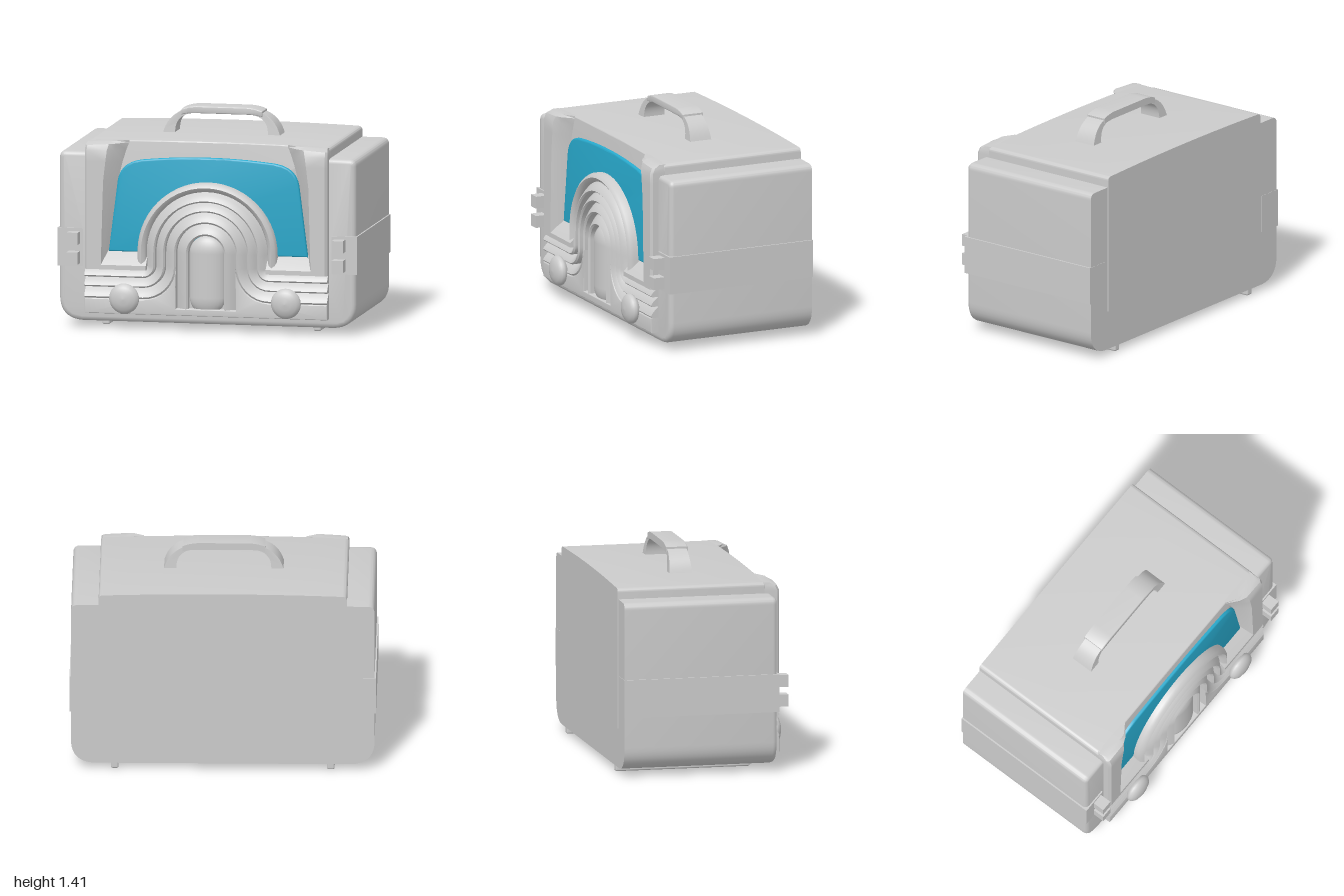
import * as THREE from 'three';
import { toCreasedNormals } from 'three/addons/utils/BufferGeometryUtils.js';
import { RoundedBoxGeometry } from 'three/addons/geometries/RoundedBoxGeometry.js';

const grey = new THREE.MeshStandardMaterial({ color: 0xcccccc, side: THREE.DoubleSide });
const teal = new THREE.MeshStandardMaterial({ color: 0x28a9cc });

export function createModel() {
  const model = new THREE.Group();

  function add(name, geometry, x = 0, y = 0, z = 0, material = grey) {
    const mesh = new THREE.Mesh(geometry, material);
    mesh.name = name;
    mesh.position.set(x, y, z);
    model.add(mesh);
    return mesh;
  }

  // Outline extruded from z0 to z1, with only its front edge rounded
  function slab(shape, z0, z1, bevel) {
    const g = new THREE.ExtrudeGeometry(shape, {
      depth: z1 - z0 - bevel, bevelThickness: bevel, bevelSize: bevel,
      bevelOffset: -bevel, bevelSegments: 3, curveSegments: 10,
    });
    const p = g.attributes.position;
    for (let i = 0; i < p.count; i++) p.setZ(i, Math.max(0, p.getZ(i)) + z0);
    return toCreasedNormals(g, 0.6);
  }

  // Surface through a row of cross-sections
  function loft(sections, flip = false) {
    const n = sections[0].length, index = [];
    for (let i = 0; i < sections.length - 1; i++) {
      for (let j = 0; j < n - 1; j++) {
        const a = i * n + j, b = a + n, c = b + 1, d = a + 1;
        index.push(...(flip ? [a, c, b, a, d, c] : [a, b, c, a, c, d]));
      }
    }
    const g = new THREE.BufferGeometry();
    g.setAttribute('position', new THREE.Float32BufferAttribute(sections.flat(2), 3));
    g.setIndex(index);
    return toCreasedNormals(g, 0.6);
  }

  // Outer case: a U-shaped shell with large lower corners
  const shell = new THREE.Shape();
  shell.moveTo(-0.84, 0.04);
  shell.lineTo(0.84, 0.04);
  shell.quadraticCurveTo(0.99, 0.05, 0.99, 0.2);
  shell.lineTo(0.99, 1.11);
  shell.quadraticCurveTo(0.99, 1.155, 0.945, 1.155);
  shell.lineTo(0.74, 1.155);
  shell.lineTo(0.74, 0.42);
  shell.lineTo(-0.74, 0.42);
  shell.lineTo(-0.74, 1.155);
  shell.lineTo(-0.945, 1.155);
  shell.quadraticCurveTo(-0.99, 1.155, -0.99, 1.11);
  shell.lineTo(-0.99, 0.2);
  shell.quadraticCurveTo(-0.99, 0.05, -0.84, 0.04);
  add('outerCase', slab(shell, -0.57, 0.455, 0.03));

  // Raised central body with a gently domed top
  const core = new THREE.Shape();
  core.moveTo(-0.81, 0.3);
  core.lineTo(0.81, 0.3);
  core.lineTo(0.81, 1.2);
  core.quadraticCurveTo(0.81, 1.225, 0.78, 1.226);
  core.quadraticCurveTo(0, 1.252, -0.78, 1.226);
  core.quadraticCurveTo(-0.81, 1.225, -0.81, 1.2);
  add('centralBody', slab(core, -0.575, 0.415, 0.008));

  // Coloured dial window
  const dial = new THREE.Shape();
  dial.moveTo(-0.665, 0.5);
  dial.lineTo(0.665, 0.5);
  dial.lineTo(0.605, 0.97);
  dial.quadraticCurveTo(0.585, 1.09, 0.44, 1.11);
  dial.quadraticCurveTo(0, 1.16, -0.44, 1.11);
  dial.quadraticCurveTo(-0.585, 1.09, -0.605, 0.97);
  dial.lineTo(-0.665, 0.5);
  add('dialWindow', slab(dial, 0.39, 0.435, 0.012), 0, 0, 0, teal);

  // Front pillars and sills sloping in to the window:
  // inner x, inner y, outer x, outer y, edge x, edge y, front z
  const stations = [
    [0.4, 0.51, 0.4, 0.42, 0.4, 0.39, 0.4],
    [0.4, 0.51, 0.4, 0.42, 0.4, 0.39, 0.51],
    [0.665, 0.51, 0.7, 0.42, 0.81, 0.39, 0.51],
    [0.605, 0.97, 0.685, 0.97, 0.81, 0.97, 0.51],
    [0.575, 1.09, 0.67, 1.1, 0.81, 1.1, 0.51],
    [0.55, 1.17, 0.66, 1.175, 0.81, 1.17, 0.51],
    [0.53, 1.22, 0.65, 1.215, 0.808, 1.205, 0.495],
    [0.53, 1.236, 0.65, 1.232, 0.8, 1.224, 0.46],
    [0.53, 1.237, 0.65, 1.233, 0.8, 1.225, 0.4],
  ];
  for (const s of [1, -1]) {
    const sections = stations.map(([ix, iy, ox, oy, ex, ey, z]) => [
      [s * ix, iy, Math.min(z, 0.415)],
      [s * (ix + (ox - ix) * 0.6), iy + (oy - iy) * 0.6, Math.min(z, 0.475)],
      [s * ox, oy, z],
      [s * Math.max(ox, ex - 0.015), ey, z],
      [s * ex, ey, Math.max(z - 0.015, 0.4)],
      [s * ex, ey, 0.4],
    ]);
    add(s > 0 ? 'leftPillar' : 'rightPillar', loft(sections, s > 0));
  }

  // Path of a grille line at radius r: foot, upright, half circle, mirrored
  const arcY = 0.51, bend = 0.42;
  function archPath(r, flared, footY) {
    const half = [];
    if (flared) {
      half.push([0.81, r]);
      for (let i = 0; i <= 8; i++) {
        const a = -Math.PI / 2 - (i / 8) * Math.PI / 2;
        half.push([bend + (bend - r) * Math.cos(a), bend + (bend - r) * Math.sin(a)]);
      }
    } else half.push([r, footY]);
    for (let i = 0; i <= 14; i++) {
      const a = (i / 14) * Math.PI / 2;
      half.push([r * Math.cos(a), arcY + r * Math.sin(a)]);
    }
    return [...half, ...half.slice(0, -1).reverse().map(([x, y]) => [-x, y])];
  }

  // Profile entries: fraction from the outer to the inner radius, and z
  function arch(name, outer, inner, profile, flared, footY) {
    const paths = profile.map(([f]) => archPath(outer + f * (inner - outer), flared, footY));
    const sections = paths[0].map((_, i) => profile.map(([, z], j) => [...paths[j][i], z]));
    const flat = (sec) => sec.map(([x, y]) => [x, y, 0.41]);
    add(name, loft([flat(sections[0]), ...sections, flat(sections.at(-1))]));
  }
  const tooth = [[0, 0.41], [0, 0.455], [0.3, 0.48], [0.6, 0.5], [0.85, 0.51], [1, 0.5], [1, 0.41]];
  const round = [[0, 0.41], [0, 0.465], [0.15, 0.485], [0.5, 0.5], [0.85, 0.485], [1, 0.465], [1, 0.41]];
  arch('outerArch', 0.465, 0.405, round, false, 0.43);
  [[0.405, 0.34], [0.34, 0.275], [0.275, 0.2]].forEach(([o, i], k) =>
    arch('grilleRib' + (k + 1), o, i, tooth, true));
  arch('innerArch', 0.2, 0.12, tooth, false, 0.14);

  // Rounded centre bar of the grille
  const bar = add('centreBar', new THREE.CapsuleGeometry(0.12, 0.3, 8, 24), 0, 0.36, 0.45);
  bar.scale.set(1, 0.97, 0.5);
  bar.position.y = 0.365;

  // Lower front panel following the lowest rib
  const lower = archPath(0.2, true).slice(0, 10);
  const panel = new THREE.Shape([
    [-0.81, 0.1], [0.81, 0.1], ...lower, [0.2, 0.145],
    [-0.2, 0.145], ...lower.slice().reverse().map(([x, y]) => [-x, y]),
  ].map(([x, y]) => new THREE.Vector2(x, y)));
  add('lowerPanel', slab(panel, 0.42, 0.51, 0.006));

  // Control knobs
  const knob = new THREE.LatheGeometry([
    [0.08, 0], [0.096, 0.015], [0.1, 0.03], [0.094, 0.045], [0.075, 0.062], [0.04, 0.073], [0, 0.076],
  ].map(([x, y]) => new THREE.Vector2(x, y)), 28).rotateX(Math.PI / 2);

  for (const s of [1, -1]) {
    const side = s > 0 ? 'left' : 'right';
    add(side + 'Knob', knob, s * 0.54, 0.205, 0.5);

    // Side band with its two front studs
    add(side + 'Band', new THREE.BoxGeometry(0.17, 0.25, 1.037), s * 0.915, 0.525, -0.0535);
    for (const y of [0.46, 0.59])
      add(side + 'Stud', new THREE.BoxGeometry(0.075, 0.08, 0.1), s * 0.885, y, 0.493);

    // Foot rail
    add(side + 'FootRail', new RoundedBoxGeometry(0.05, 0.08, 0.9, 2, 0.012), s * 0.705, 0.04, -0.12);
  }

  // Handle arch, flaring towards its feet
  const strap = new THREE.Shape();
  strap.moveTo(-0.39, 1.235);
  strap.bezierCurveTo(-0.36, 1.33, -0.31, 1.385, -0.16, 1.4);
  strap.lineTo(0.16, 1.4);
  strap.bezierCurveTo(0.31, 1.385, 0.36, 1.33, 0.39, 1.235);
  strap.lineTo(0.31, 1.235);
  strap.bezierCurveTo(0.31, 1.32, 0.27, 1.36, 0.16, 1.37);
  strap.lineTo(-0.16, 1.37);
  strap.bezierCurveTo(-0.27, 1.36, -0.31, 1.32, -0.31, 1.235);
  const strapGeo = new THREE.ExtrudeGeometry(strap, { depth: 0.13, bevelEnabled: false, curveSegments: 12 });
  strapGeo.translate(0, 0, -0.065);
  const p = strapGeo.attributes.position;
  for (let i = 0; i < p.count; i++)
    p.setZ(i, p.getZ(i) * (1 + 0.17 * Math.max(0, (1.36 - p.getY(i)) / 0.125)));
  add('handleArch', toCreasedNormals(strapGeo, 0.6), 0, 0, -0.054);

  // Handle grip
  const grip = new THREE.Shape();
  grip.moveTo(-0.27, 1.352);
  grip.lineTo(-0.27, 1.388);
  grip.quadraticCurveTo(-0.22, 1.41, -0.16, 1.411);
  grip.lineTo(0.16, 1.411);
  grip.quadraticCurveTo(0.22, 1.41, 0.27, 1.388);
  grip.lineTo(0.27, 1.352);
  grip.quadraticCurveTo(0.22, 1.364, 0.16, 1.364);
  grip.lineTo(-0.16, 1.364);
  grip.quadraticCurveTo(-0.22, 1.364, -0.27, 1.352);
  add('handleGrip', slab(grip, -0.126, 0.018, 0.006));

  return model;
}
